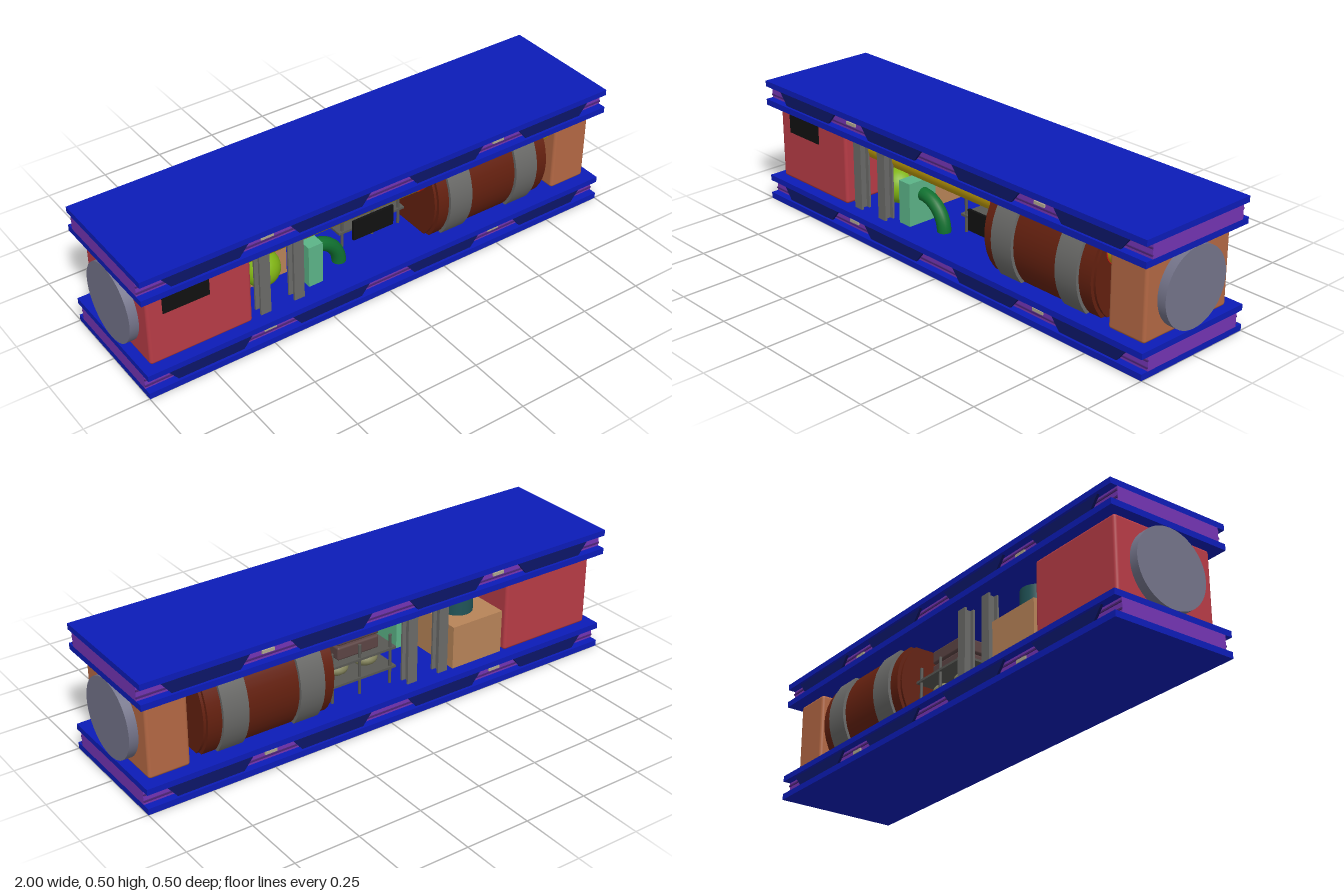
import * as THREE from 'three';
import { RoundedBoxGeometry } from 'three/addons/geometries/RoundedBoxGeometry.js';

const C = {
  blue: 0x0c1cb8, navy: 0x0c1668, purple: 0x7434b4, violet: 0x4c2478, label: 0xb0a890,
  red: 0xb83c46, orange: 0xb46844, slate: 0x74748a, brown: 0x64200f, grey: 0x6a6a68,
  yellow: 0xc09c08, ring: 0xcc1c14, tan: 0xb88458, lime: 0x80b414, teal: 0x205458,
  mint: 0x5cb488, green: 0x107030, black: 0x111111, steel: 0x585854, mauve: 0x5c4444, olive: 0x84845c,
};
const mats = {};
const mat = (c) => (mats[c] ??= new THREE.MeshStandardMaterial({ color: C[c] }));

export function createModel() {
  const root = new THREE.Group();
  const add = (name, geo, color, x, y, z, parent = root) => {
    const m = new THREE.Mesh(geo, mat(color));
    m.name = name;
    m.position.set(x, y, z);
    parent.add(m);
    return m;
  };
  // box given by its min and max on each axis
  const box = (name, color, x0, x1, y0, y1, z0, z1, parent) =>
    add(name, new THREE.BoxGeometry(x1 - x0, y1 - y0, z1 - z0), color,
      (x0 + x1) / 2, (y0 + y1) / 2, (z0 + z1) / 2, parent);
  // cylinder lying along x
  const drum = (name, color, x0, x1, r, y, z, sides = 40) =>
    add(name, new THREE.CylinderGeometry(r, r, x1 - x0, sides).rotateZ(-Math.PI / 2), color,
      (x0 + x1) / 2, y, z);

  // Sandwich decks: two plates, a core and trapezoid side panels
  const trapezoid = new THREE.Shape([
    new THREE.Vector2(-0.13, 0), new THREE.Vector2(0.13, 0),
    new THREE.Vector2(0.175, 0.055), new THREE.Vector2(-0.175, 0.055),
  ]);
  const panelGeo = new THREE.ExtrudeGeometry(trapezoid, { depth: 0.01, bevelEnabled: false });
  for (const [deckName, y] of [['lowerDeck', 0], ['upperDeck', 0.4]]) {
    const deck = new THREE.Group();
    deck.name = deckName;
    root.add(deck);
    box('outerPlate', 'blue', -1, 1, y, y + 0.024, -0.252, 0.252, deck);
    box('innerPlate', 'blue', -1, 1, y + 0.077, y + 0.1, -0.252, 0.252, deck);
    box('core', 'purple', -1, 1, y + 0.024, y + 0.077, -0.222, 0.222, deck);
    for (const s of [1, -1]) {
      for (const x of [-0.75, -0.25, 0.25, 0.75])
        add('sidePanel', panelGeo, 'navy', x, y + 0.023, s * 0.237 - 0.005, deck);
      for (const dy of [0.037, 0.063])
        box('coreRail', 'violet', -1, 1, y + dy - 0.003, y + dy + 0.003, s * 0.223 - 0.003, s * 0.223 + 0.003, deck);
      for (const x of [-0.5, 0.5])
        box('sideLight', 'label', x - 0.025, x + 0.025, y + 0.045, y + 0.057, s * 0.224 - 0.004, s * 0.224 + 0.004, deck);
    }
  }

  // End housings and round end caps
  const housing = (name, color, x0, x1, d) =>
    add(name, new RoundedBoxGeometry(x1 - x0, 0.302, d, 3, 0.012), color, (x0 + x1) / 2, 0.25, 0);
  housing('redHousing', 'red', -0.965, -0.56, 0.42);
  housing('orangeHousing', 'orange', 0.805, 0.965, 0.41);
  box('displayPanel', 'black', -0.905, -0.725, 0.3, 0.385, 0.205, 0.214);
  drum('leftCap', 'slate', 0.96, 1, 0.15, 0.25, 0, 48);
  drum('rightCap', 'slate', -1, -0.96, 0.15, 0.25, 0, 48);

  // Banded barrel
  drum('barrel', 'brown', 0.235, 0.745, 0.228, 0.25, 0);
  drum('barrelHead', 'brown', 0.225, 0.755, 0.215, 0.25, 0);
  for (const x of [0.28, 0.59]) drum('barrelBand', 'grey', x, x + 0.1, 0.24, 0.25, 0);

  // Long pipe with collars
  drum('pipe', 'yellow', -0.57, 0.82, 0.055, 0.342, 0.11, 28);
  for (const x of [-0.56, 0.2, 0.74]) drum('pipeRing', 'ring', x, x + 0.018, 0.058, 0.342, 0.11, 28);
  drum('pipeCollar', 'yellow', 0.79, 0.81, 0.06, 0.342, 0.11, 28);

  // I-section posts between the decks
  for (const [x, z] of [[-0.5, 0.18], [-0.36, 0.18], [-0.13, -0.18], [-0.27, -0.18]]) {
    const post = new THREE.Group();
    post.name = 'post';
    root.add(post);
    for (const s of [-1, 1])
      box('flange', 'grey', x - 0.021, x + 0.021, 0.1, 0.4, z + s * 0.018 - 0.004, z + s * 0.018 + 0.004, post);
    box('web', 'grey', x - 0.005, x + 0.005, 0.1, 0.4, z - 0.016, z + 0.016, post);
  }

  // Pump unit with motor and round vessel
  box('pumpBase', 'tan', -0.545, -0.315, 0.1, 0.272, -0.205, 0.05);
  add('pumpMotor', new THREE.CylinderGeometry(0.06, 0.06, 0.11, 28), 'teal', -0.42, 0.327, -0.09);
  add('vessel', new THREE.SphereGeometry(0.072, 28, 18), 'lime', -0.43, 0.182, 0.06);

  // Duct box with a bent hose
  box('ductBox', 'mint', -0.297, -0.237, 0.1, 0.272, 0.04, 0.168);
  add('hose', new THREE.TorusGeometry(0.115, 0.027, 14, 20, Math.PI / 2), 'green', -0.237, 0.1, 0.1);

  // Equipment rack: shelves, rods and modules
  const rack = new THREE.Group();
  rack.name = 'rack';
  root.add(rack);
  for (const y of [0.162, 0.24]) box('shelf', 'steel', -0.085, 0.21, y, y + 0.009, -0.16, 0.05, rack);
  for (const x of [-0.065, 0.07, 0.19])
    for (const z of [-0.15, 0.04])
      add('rod', new THREE.CylinderGeometry(0.006, 0.006, 0.2, 10), 'steel', x, 0.2, z, rack);
  for (const y of [0.252, 0.31]) add('module', new RoundedBoxGeometry(0.18, 0.052, 0.14, 2, 0.008), 'mauve', 0.06, y + 0.022, -0.06, rack);
  for (const x of [0.0, 0.13]) {
    const tank = add('tank', new THREE.SphereGeometry(0.05, 20, 12), 'olive', x, 0.2, -0.08, rack);
    tank.scale.y = 0.6;
  }
  box('rackScreen', 'black', -0.03, 0.15, 0.125, 0.21, 0.055, 0.065, rack);

  return root;
}
